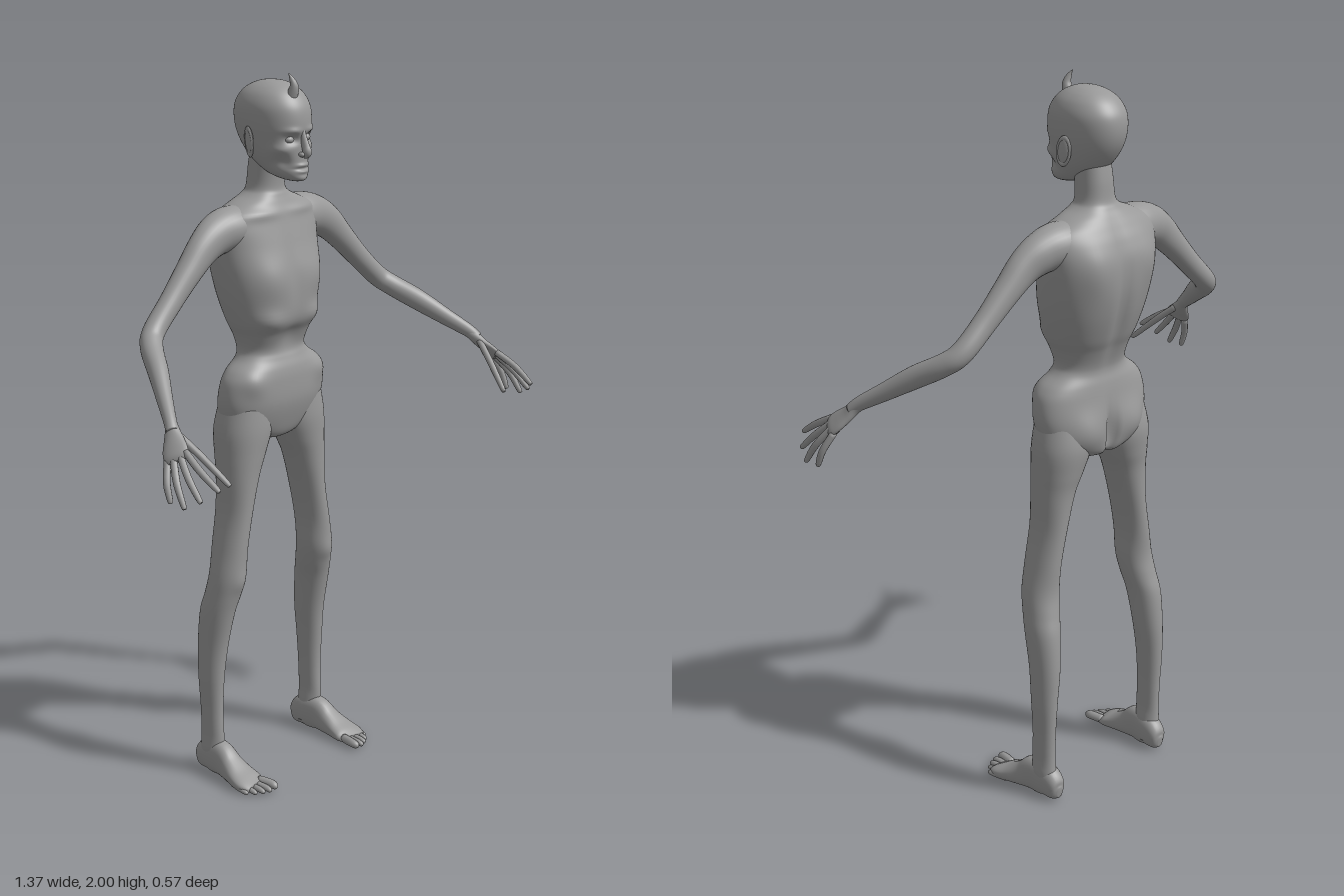
import * as THREE from 'three';

const V = (x, y, z) => new THREE.Vector3(x, y, z);
const UP = V(0, 1, 0), FRONT = V(0, 0, 1);
const skin = new THREE.MeshStandardMaterial({ color: 0x999999 });
skin.name = 'grey skin';

// Smoothly resamples a list of key sections (Catmull-Rom on every column).
function resample(keys, steps) {
  const out = [], n = keys.length - 1;
  for (let s = 0; s <= steps; s++) {
    const u = (s / steps) * n, i = Math.min(Math.floor(u), n - 1), t = u - i;
    const [a, b, c, d] = [keys[Math.max(i - 1, 0)], keys[i], keys[i + 1], keys[Math.min(i + 2, n)]];
    out.push(b.map((q, k) => q + 0.5 * t * (c[k] - a[k] +
      t * (2 * a[k] - 5 * q + 4 * c[k] - d[k] + t * (3 * (q - c[k]) + d[k] - a[k])))));
  }
  return out;
}

// Skins closed rings, caps both ends, then raises or sinks soft bumps
// given as [x, y, z, rx, ry, rz, amount], mirrored in x.
function skinRings(rings, bumps = []) {
  const m = rings[0].length, pts = rings.flat(), index = [];
  for (let i = 0; i < rings.length - 1; i++) {
    for (let j = 0; j < m; j++) {
      const a = i * m + j, b = i * m + (j + 1) % m;
      index.push(a, b, a + m, b, b + m, a + m);
    }
  }
  [0, rings.length - 1].forEach((r) => {
    const c = pts.length, mid = V(0, 0, 0);
    rings[r].forEach((p) => mid.addScaledVector(p, 1 / m));
    pts.push(mid);
    for (let j = 0; j < m; j++) {
      const a = r * m + j, b = r * m + (j + 1) % m;
      if (r === 0) index.push(c, b, a); else index.push(c, a, b);
    }
  });
  const g = new THREE.BufferGeometry().setFromPoints(pts);
  g.setIndex(index);
  g.computeVertexNormals();
  if (bumps.length) {
    const nrm = g.attributes.normal, pos = g.attributes.position;
    pts.forEach((p, i) => {
      let h = 0;
      for (const [x, y, z, rx, ry, rz, amt] of bumps) {
        h += amt * Math.exp(-(((Math.abs(p.x) - x) / rx) ** 2) - ((p.y - y) / ry) ** 2 - ((p.z - z) / rz) ** 2);
      }
      pos.setXYZ(i, p.x + h * nrm.getX(i), p.y + h * nrm.getY(i), p.z + h * nrm.getZ(i));
    });
    g.computeVertexNormals();
  }
  return g;
}

const rounded = (c, p) => Math.sign(c) * Math.abs(c) ** (2 / p);

// Upright body part from sections [y, centre x, half width, front z, back z].
function column(keys, steps, sides, p, bumps) {
  return skinRings(resample(keys, steps).map(([y, cx, w, zf, zb]) =>
    Array.from({ length: sides }, (_, j) => {
      const a = (j / sides) * Math.PI * 2;
      return V(cx + w * rounded(Math.cos(a), p), y, (zf + zb) / 2 - (zf - zb) / 2 * rounded(Math.sin(a), p));
    })), bumps);
}

// Limb along a path from sections [x, y, z, radius across, radius along up].
function limb(keys, steps, sides, up = UP, p = 2, bumps) {
  const s = resample(keys, steps), at = (i) => V(...s[Math.max(0, Math.min(steps, i))].slice(0, 3));
  return skinRings(s.map((k, i) => {
    const t = at(i + 1).sub(at(i - 1)).normalize();
    const side = up.clone().cross(t).normalize(), n = t.clone().cross(side);
    return Array.from({ length: sides }, (_, j) => {
      const a = (j / sides) * Math.PI * 2;
      return at(i).addScaledVector(side, k[3] * rounded(Math.cos(a), p)).addScaledVector(n, k[4] * rounded(Math.sin(a), p));
    });
  }), bumps);
}

// Tapered finger or toe through three points with a rounded tip.
function digit(a, b, c, r, up) {
  const end = V(...c), d = end.clone().sub(V(...b)).normalize().multiplyScalar(r * 0.6);
  const back = end.clone().sub(d);
  return limb([[...a, r, r], [...b, r, r], [...back.toArray(), r * 0.75, r * 0.75],
    [...end.toArray(), r * 0.15, r * 0.15]], 12, 10, up);
}

function ball(x, y, z, sx, sy, sz) {
  return new THREE.SphereGeometry(1, 20, 14).scale(sx, sy, sz).translate(x, y, z);
}

function mirrored(g) {
  const m = g.clone().scale(-1, 1, 1), ix = m.index.array;
  for (let i = 0; i < ix.length; i += 3) [ix[i], ix[i + 1]] = [ix[i + 1], ix[i]];
  m.computeVertexNormals();
  return m;
}

export function createModel() {
  const model = new THREE.Group();
  model.name = 'standing figure';
  const add = (name, g) => {
    const mesh = new THREE.Mesh(g, skin);
    mesh.name = name;
    model.add(mesh);
  };
  const pair = (name, g) => {
    add('left ' + name, g);
    add('right ' + name, mirrored(g));
  };

  // Torso with narrow waist, ribcage, shoulders and neck
  add('torso', column([
    [0.985, 0, 0.03, -0.12, -0.19], [1.0, 0, 0.09, -0.095, -0.225], [1.04, 0, 0.16, -0.078, -0.236],
    [1.1, 0, 0.183, -0.063, -0.236], [1.16, 0, 0.178, -0.062, -0.228], [1.195, 0, 0.157, -0.066, -0.222],
    [1.225, 0, 0.12, -0.075, -0.215], [1.25, 0, 0.108, -0.078, -0.218], [1.29, 0, 0.117, -0.062, -0.232],
    [1.33, 0, 0.134, -0.048, -0.25], [1.4, 0, 0.154, -0.043, -0.272], [1.47, 0, 0.167, -0.048, -0.284],
    [1.54, 0, 0.175, -0.066, -0.283], [1.59, 0, 0.178, -0.08, -0.268], [1.625, 0, 0.163, -0.09, -0.25],
    [1.65, 0, 0.115, -0.1, -0.235], [1.67, 0, 0.07, -0.108, -0.222], [1.69, 0, 0.053, -0.114, -0.213],
    [1.74, 0, 0.048, -0.11, -0.208], [1.79, 0, 0.046, -0.1, -0.2],
  ], 110, 72, 2.25, [
    [0.085, 1.45, -0.05, 0.05, 0.05, 0.06, 0.007], [0.08, 1.34, -0.06, 0.04, 0.025, 0.05, 0.01],
    [0, 1.28, -0.06, 0.05, 0.04, 0.05, -0.014], [0, 1.45, -0.05, 0.02, 0.12, 0.05, -0.005],
    [0.08, 1.625, -0.1, 0.06, 0.012, 0.05, 0.005], [0.13, 1.17, -0.08, 0.035, 0.035, 0.05, 0.01],
    [0, 1.4, -0.27, 0.02, 0.18, 0.06, -0.012], [0.09, 1.53, -0.26, 0.04, 0.06, 0.05, 0.009],
    [0.08, 1.07, -0.23, 0.05, 0.05, 0.06, 0.014], [0, 1.05, -0.24, 0.013, 0.06, 0.06, -0.025],
  ]));

  // Legs
  pair('leg', column([
    [0.025, 0.2, 0.028, -0.165, -0.235], [0.1, 0.205, 0.025, -0.152, -0.228], [0.2, 0.205, 0.026, -0.154, -0.229],
    [0.3, 0.205, 0.031, -0.15, -0.234], [0.4, 0.2, 0.037, -0.14, -0.236], [0.5, 0.195, 0.043, -0.12, -0.228],
    [0.56, 0.186, 0.047, -0.105, -0.213], [0.62, 0.178, 0.048, -0.094, -0.202], [0.7, 0.168, 0.041, -0.09, -0.205],
    [0.8, 0.149, 0.041, -0.088, -0.209], [0.9, 0.133, 0.055, -0.084, -0.214], [0.96, 0.12, 0.069, -0.08, -0.224],
    [1.03, 0.106, 0.083, -0.076, -0.232], [1.1, 0.1, 0.075, -0.08, -0.22],
  ], 70, 36, 2.1, [
    [0.178, 0.6, -0.095, 0.022, 0.03, 0.03, 0.006], [0.22, 0.08, -0.19, 0.02, 0.02, 0.03, 0.006],
    [0.18, 0.09, -0.19, 0.015, 0.02, 0.03, 0.005],
  ]));

  // Feet and toes
  pair('foot', limb([
    [0.2, 0.03, -0.25, 0.008, 0.015], [0.2, 0.033, -0.237, 0.025, 0.032], [0.201, 0.05, -0.2, 0.032, 0.05],
    [0.204, 0.052, -0.155, 0.032, 0.052], [0.207, 0.038, -0.115, 0.036, 0.038], [0.21, 0.026, -0.075, 0.044, 0.026],
    [0.211, 0.018, -0.04, 0.048, 0.018], [0.207, 0.013, -0.015, 0.04, 0.01],
  ], 36, 30, UP, 2.4));
  [[0.174, 0.036, 0.013], [0.196, 0.034, 0.0095], [0.215, 0.026, 0.009], [0.234, 0.013, 0.0085], [0.251, -0.006, 0.008]]
    .forEach(([x, z, r], i) => pair('toe ' + (i + 1),
      digit([x * 0.8 + 0.042, r + 0.004, z - 0.065], [x, r + 0.004, z - 0.025], [x, r, z], r, UP)));

  // Arms, bent forward at the elbow
  pair('arm', limb([
    [0.07, 1.59, -0.17, 0.065, 0.055], [0.14, 1.59, -0.168, 0.062, 0.06], [0.195, 1.578, -0.165, 0.05, 0.055],
    [0.245, 1.55, -0.16, 0.04, 0.047], [0.3, 1.5, -0.157, 0.035, 0.038], [0.37, 1.432, -0.153, 0.03, 0.032],
    [0.44, 1.367, -0.145, 0.03, 0.03], [0.475, 1.335, -0.115, 0.03, 0.03], [0.515, 1.295, -0.05, 0.027, 0.03],
    [0.56, 1.247, 0.02, 0.021, 0.024], [0.595, 1.21, 0.075, 0.017, 0.019], [0.61, 1.19, 0.1, 0.017, 0.015],
  ], 70, 30));

  // Hands with spread fingers
  const handUp = V(0.76, 0.66, 0.13);
  pair('palm', limb([
    [0.592, 1.213, 0.07, 0.015, 0.015], [0.603, 1.195, 0.09, 0.018, 0.016], [0.615, 1.175, 0.108, 0.026, 0.014],
    [0.63, 1.155, 0.128, 0.034, 0.012], [0.64, 1.14, 0.143, 0.034, 0.011], [0.645, 1.132, 0.151, 0.025, 0.006],
  ], 24, 24, handUp));
  [
    ['index finger', [0.624, 1.153, 0.16], [0.634, 1.12, 0.22], [0.63, 1.08, 0.282]],
    ['middle finger', [0.634, 1.144, 0.151], [0.654, 1.1, 0.2], [0.662, 1.052, 0.25]],
    ['ring finger', [0.644, 1.136, 0.137], [0.67, 1.085, 0.175], [0.679, 1.03, 0.21]],
    ['little finger', [0.65, 1.128, 0.122], [0.673, 1.08, 0.142], [0.678, 1.032, 0.16]],
    ['thumb', [0.604, 1.185, 0.11], [0.582, 1.135, 0.17], [0.555, 1.068, 0.242]],
  ].forEach(([name, a, b, c]) => pair(name, digit(a, b, c, 0.0095, handUp)));

  // Head with brow, eye sockets, cheeks and lips
  add('head', column([
    [1.717, 0, 0.015, -0.035, -0.07], [1.722, 0, 0.03, -0.025, -0.1], [1.735, 0, 0.046, -0.021, -0.14],
    [1.76, 0, 0.06, -0.023, -0.18], [1.79, 0, 0.071, -0.023, -0.212], [1.83, 0, 0.08, -0.022, -0.238],
    [1.87, 0, 0.085, -0.019, -0.249], [1.91, 0, 0.084, -0.025, -0.246], [1.94, 0, 0.072, -0.043, -0.228],
    [1.96, 0, 0.053, -0.067, -0.203], [1.972, 0, 0.03, -0.096, -0.172], [1.976, 0, 0.008, -0.125, -0.145],
  ], 110, 96, 2.15, [
    [0.032, 1.853, -0.03, 0.022, 0.008, 0.04, 0.005], [0.032, 1.83, -0.03, 0.017, 0.012, 0.04, -0.014],
    [0.055, 1.803, -0.045, 0.018, 0.012, 0.04, 0.006], [0.052, 1.768, -0.05, 0.018, 0.016, 0.04, -0.008],
    [0, 1.76, -0.02, 0.02, 0.005, 0.03, 0.005], [0, 1.751, -0.02, 0.026, 0.003, 0.03, -0.004],
    [0, 1.743, -0.02, 0.018, 0.005, 0.03, 0.005], [0, 1.725, -0.02, 0.018, 0.008, 0.03, 0.004],
  ]));
  add('nose', limb([
    [0, 1.86, -0.03, 0.008, 0.008], [0, 1.835, -0.024, 0.008, 0.011], [0, 1.81, -0.014, 0.01, 0.012],
    [0, 1.796, -0.009, 0.012, 0.013], [0, 1.786, -0.014, 0.009, 0.009], [0, 1.782, -0.02, 0.003, 0.003],
  ], 24, 18, FRONT));
  pair('nostril', ball(0.011, 1.79, -0.018, 0.008, 0.007, 0.01));
  pair('eye', ball(0.032, 1.829, -0.045, 0.014, 0.01, 0.012));

  // Ears: flat shell with a raised rim
  const place = (g) => g.rotateY(0.3).rotateX(-0.12).translate(0.087, 1.82, -0.138);
  pair('ear', place(ball(0, 0, 0, 0.006, 0.036, 0.018)));
  pair('ear rim', place(new THREE.TorusGeometry(0.018, 0.004, 8, 28).rotateY(Math.PI / 2).scale(1, 1.9, 1)));

  // Small curved horn on the forehead
  add('horn', limb([
    [-0.01, 1.935, -0.058, 0.016, 0.016], [-0.008, 1.955, -0.05, 0.014, 0.014],
    [-0.009, 1.97, -0.048, 0.011, 0.011], [-0.013, 1.987, -0.053, 0.006, 0.006], [-0.017, 2.0, -0.06, 0.001, 0.001],
  ], 20, 16, FRONT));

  return model;
}
